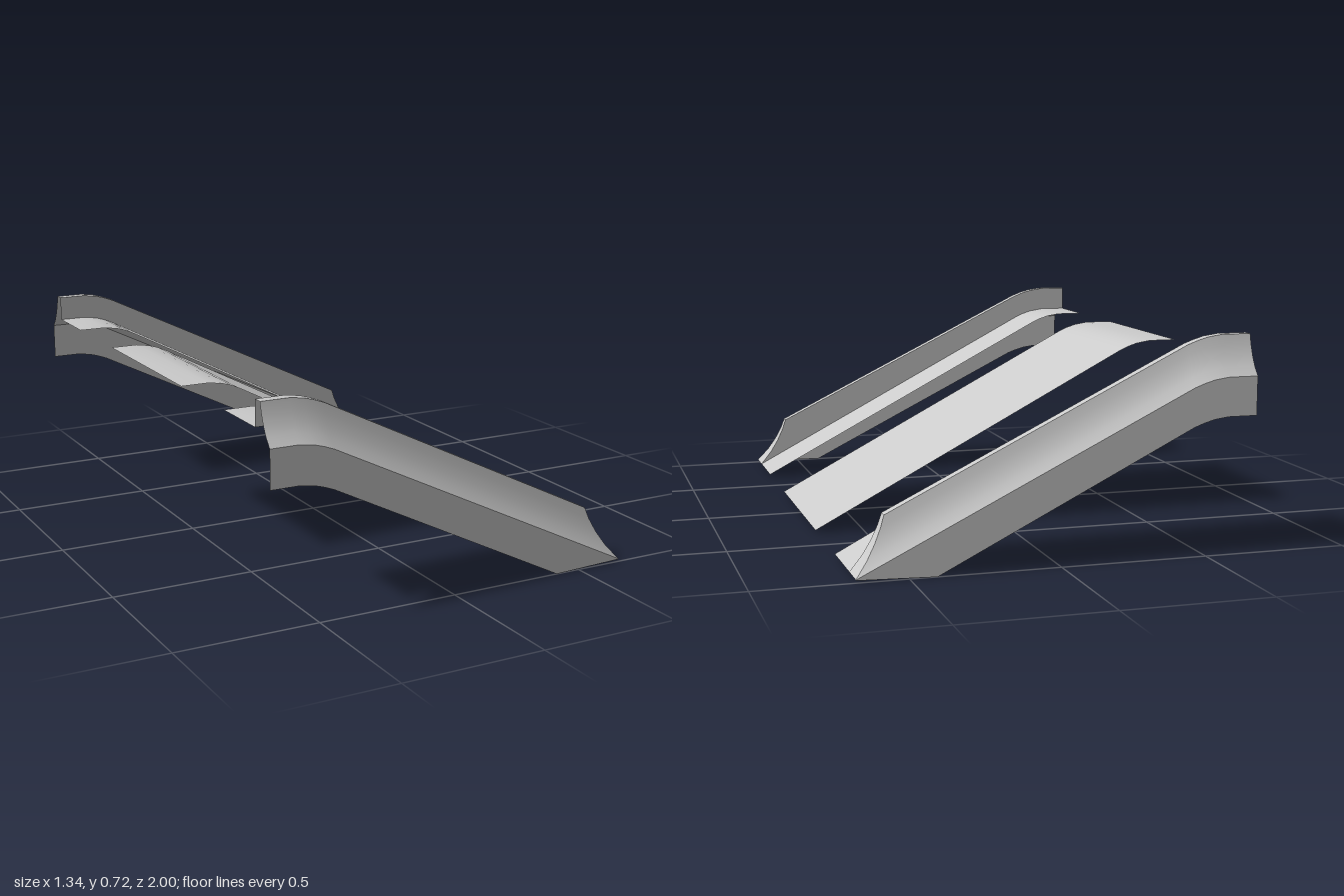
import * as THREE from 'three';
import { toCreasedNormals } from 'three/addons/utils/BufferGeometryUtils.js';

const material = new THREE.MeshStandardMaterial({ color: 0xcccccc, side: THREE.DoubleSide });

// Height along a piecewise-linear path of [x, y] points
function heightAt(path, x) {
  for (let i = 1; i < path.length; i++) {
    const [x0, y0] = path[i - 1], [x1, y1] = path[i];
    if (x <= x1) return y0 + (y1 - y0) * (x - x0) / (x1 - x0);
  }
  return path[path.length - 1][1];
}

// Flat landing, rounded bend, then straight slope
const deckPath = [[-0.67, 0.633], [-0.57, 0.633], [-0.52, 0.625], [-0.485, 0.614], [-0.45, 0.598], [0.67, 0.01]];
const railPath = [[-0.67, 0.59], [-0.57, 0.59], [-0.52, 0.583], [-0.485, 0.573], [-0.45, 0.56], [0.67, 0.01]];
const stations = railPath.slice(0, -1).map(p => p[0]);

// Concave rail flank: [z, height above the rail's lower line]
const flank = [[1, 0], [0.975, 0.03], [0.957, 0.063], [0.943, 0.1], [0.935, 0.132]];
const inner = 0.9;
const endX = z => 0.67 - (1 - z) * 1.615;

// Surface through rows of [x, y, z] points, optionally mirrored in z
function sheet(name, rows, side = 1) {
  const n = rows[0].length, index = [];
  const positions = rows.flat().flatMap(([x, y, z]) => [x, y, z * side]);
  for (let r = 0; r < rows.length - 1; r++) {
    for (let i = 0; i < n - 1; i++) {
      const a = r * n + i, b = a + n;
      if (side > 0) index.push(a, b, a + 1, b, b + 1, a + 1);
      else index.push(a, a + 1, b, b, a + 1, b + 1);
    }
  }
  const geometry = new THREE.BufferGeometry();
  geometry.setAttribute('position', new THREE.Float32BufferAttribute(positions, 3));
  geometry.setIndex(index);
  const mesh = new THREE.Mesh(toCreasedNormals(geometry, Math.PI / 6), material);
  mesh.name = name;
  return mesh;
}

const deck = (name, zOuter, zInner, side) =>
  sheet(name, deckPath.map(([x, y]) => [[x, y, zOuter], [x, y, zInner]]), side);

function createRail(name, side) {
  const rail = new THREE.Group();
  rail.name = name;

  // Sloping end curve, from the top of the rail down to its toe
  const endCurve = flank.map(([z, d]) => {
    const x = endX(z);
    return [x, heightAt(railPath, x) + d, z];
  }).reverse();
  const top = flank[flank.length - 1];

  // Outer flank, ending in a diagonal cut
  const flankRows = stations.map(x => flank.map(([z, d]) => [x, heightAt(railPath, x) + d, z]));
  flankRows.push([...endCurve].reverse());
  rail.add(sheet('railFlank', flankRows, side));

  // Narrow ledge along the top
  const ledgeXs = [...stations, endX(top[0])];
  rail.add(sheet('railTop', ledgeXs.map(x => {
    const y = heightAt(railPath, x) + top[1];
    return [[x, y, top[0]], [x, y, inner]];
  }), side));

  // Curved closing face at the toe
  rail.add(sheet('railEnd', endCurve.map(([x, y, z]) => [[x, y, z], [x, y, inner]]), side));

  // Inner wall between the ledge and the side strip
  const wallTop = stations.map(x => [x, heightAt(railPath, x) + top[1]])
    .concat(endCurve.map(([x, y]) => [x, y]));
  rail.add(sheet('railInnerWall',
    wallTop.map(([x, y]) => [[x, y, inner], [x, heightAt(deckPath, x), inner]]), side));

  // Vertical outer skirt, cut off at the ground
  const skirtRows = stations.map(x => {
    const y = heightAt(railPath, x);
    return [[x, y - 0.13, 1], [x, y, 1]];
  });
  skirtRows.push([[0.41, 0, 1], [0.41, heightAt(railPath, 0.41), 1]]);
  skirtRows.push([[0.67, 0.008, 1], [0.67, 0.01, 1]]);
  rail.add(sheet('railSkirt', skirtRows, side));

  // Sloping strip beside the rail
  rail.add(deck('sideStrip', inner, 0.67, side));
  return rail;
}

export function createModel() {
  const model = new THREE.Group();
  model.name = 'ramp';
  model.add(deck('centreDeck', 0.33, -0.33, 1));
  model.add(createRail('frontRail', 1));
  model.add(createRail('backRail', -1));
  return model;
}
